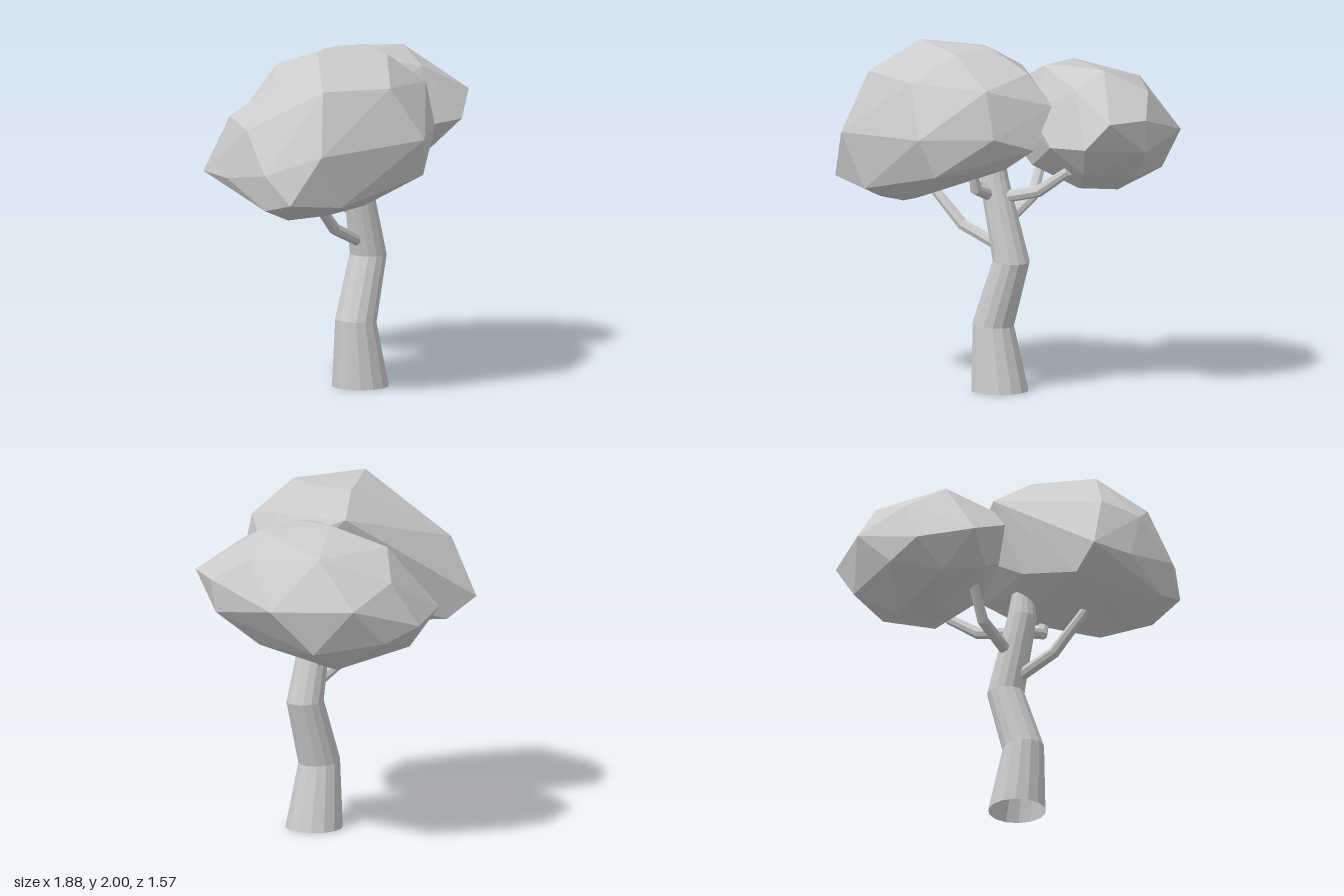
import * as THREE from 'three';
import { ConvexGeometry } from 'three/addons/geometries/ConvexGeometry.js';

const material = new THREE.MeshStandardMaterial({
  color: 0xcccccc, flatShading: true, side: THREE.DoubleSide,
});

// Faceted limb: mitred rings along a planar path, open at the root, capped at the tip.
function limb(name, path, radii, sides, planeNormal, startDir) {
  const pts = path.map(p => new THREE.Vector3(...p));
  const u = new THREE.Vector3(...planeNormal);
  const pos = [], index = [];
  pts.forEach((p, i) => {
    const before = i > 0 ? p.clone().sub(pts[i - 1]).normalize() : new THREE.Vector3();
    const after = i < pts.length - 1 ? pts[i + 1].clone().sub(p).normalize() : new THREE.Vector3();
    const t = i === 0 && startDir ? new THREE.Vector3(...startDir) : before.add(after).normalize();
    const v = t.cross(u).normalize();
    for (let k = 0; k < sides; k++) {
      const a = (k / sides) * Math.PI * 2;
      const q = p.clone().addScaledVector(u, Math.cos(a) * radii[i]).addScaledVector(v, Math.sin(a) * radii[i]);
      pos.push(q.x, q.y, q.z);
    }
  });
  for (let i = 0; i < pts.length - 1; i++) {
    for (let k = 0; k < sides; k++) {
      const a = i * sides + k, b = i * sides + (k + 1) % sides;
      index.push(a, a + sides, b, b, a + sides, b + sides);
    }
  }
  const last = (pts.length - 1) * sides;
  for (let k = 1; k < sides - 1; k++) index.push(last, last + k + 1, last + k);
  const g = new THREE.BufferGeometry();
  g.setAttribute('position', new THREE.Float32BufferAttribute(pos, 3));
  g.setIndex(index);
  const flat = g.toNonIndexed();
  flat.computeVertexNormals();
  const mesh = new THREE.Mesh(flat, material);
  mesh.name = name;
  return mesh;
}

// Faceted foliage clump spanned by its corner points.
function clump(name, corners) {
  const mesh = new THREE.Mesh(
    new ConvexGeometry(corners.map(c => new THREE.Vector3(...c))), material);
  mesh.name = name;
  return mesh;
}

export function createModel() {
  const tree = new THREE.Group();
  tree.name = 'tree';

  // Crooked trunk
  tree.add(limb('trunk',
    [[0.03, 0, 0.17], [-0.012, 0.38, 0.17], [0.103, 0.75, 0.17], [-0.005, 1.21, 0.17], [-0.01, 1.34, 0.17]],
    [0.165, 0.12, 0.107, 0.083, 0.065], 14, [0, 0, 1], [0, 1, 0]));

  // Four bent branches, two sideways and two front to back
  const r = [0.036, 0.034, 0.028];
  tree.add(limb('rightBranch', [[0.06, 0.82, 0.17], [-0.21, 0.94, 0.17], [-0.42, 1.16, 0.17]], r, 8, [0, 0, 1]));
  tree.add(limb('leftBranch', [[0.02, 1.11, 0.17], [0.28, 1.17, 0.17], [0.47, 1.3, 0.17]], r, 8, [0, 0, 1]));
  tree.add(limb('backBranch', [[0.06, 0.97, 0.16], [0.08, 1.08, -0.14], [0.08, 1.26, -0.25]], r, 8, [1, 0, 0]));
  tree.add(limb('frontBranch', [[-0.01, 1.12, 0.18], [-0.01, 1.19, 0.39], [-0.01, 1.34, 0.44]], r, 8, [1, 0, 0]));

  // Large front clump
  tree.add(clump('frontFoliage', [
    // crown
    [-0.45, 2.0, 0.23], [0, 1.99, 0.24], [-0.1, 1.97, 0.46], [-0.14, 1.96, 0.04],
    [-0.67, 1.83, 0.44], [-0.3, 1.82, 0.64], [0.14, 1.79, 0.555], [0.25, 1.86, 0.25],
    // girth
    [-0.17, 1.52, 0.785], [-0.8, 1.48, 0.53], [0.2, 1.52, 0.575], [0.395, 1.68, 0.23],
    [0.35, 1.44, 0.37], [-0.94, 1.36, 0.23], [-0.85, 1.59, 0.03], [-0.86, 1.3, -0.1],
    // slanted back
    [-0.72, 1.63, -0.19], [-0.76, 1.3, -0.35], [-0.6, 1.18, -0.27],
    [-0.15, 1.34, -0.09], [0.04, 1.84, -0.09], [0.25, 1.6, 0.09],
    // underside
    [-0.1, 1.3, 0.72], [-0.64, 1.17, 0.55], [-0.91, 1.2, 0.39], [-0.9, 1.15, 0.2],
    [-0.71, 1.07, 0.22], [-0.5, 1.08, 0.34], [-0.34, 1.13, 0.48], [0.18, 1.32, 0.4],
  ]));

  // Smaller back clump
  tree.add(clump('backFoliage', [
    // crown
    [0.3, 1.88, -0.22], [0.35, 1.88, 0.01], [0.62, 1.87, 0.02], [0.54, 1.78, 0.22],
    [0.84, 1.75, -0.1], [0.61, 1.77, -0.44], [0.12, 1.77, -0.5], [0.01, 1.75, -0.13],
    [0.21, 1.86, -0.03],
    // girth
    [0.69, 1.47, 0.39], [0.82, 1.62, 0.34], [0.42, 1.45, 0.3], [0.935, 1.62, 0.11],
    [0.92, 1.5, -0.35], [0.59, 1.5, -0.69], [0.28, 1.62, -0.69], [0.15, 1.36, -0.785],
    [-0.15, 1.4, -0.65], [-0.175, 1.54, -0.34], [0.02, 1.5, -0.07], [0.22, 1.6, 0.14],
    // underside
    [0.92, 1.43, 0.08], [0.6, 1.3, 0.24], [0.75, 1.24, -0.1], [0.72, 1.24, -0.5],
    [0.47, 1.1, -0.44], [0.25, 1.13, -0.3], [0.07, 1.2, -0.63], [0.36, 1.28, -0.72],
    [0.44, 1.17, -0.02], [-0.07, 1.29, -0.38], [-0.08, 1.36, -0.24], [0.14, 1.28, -0.02],
  ]));

  return tree;
}
